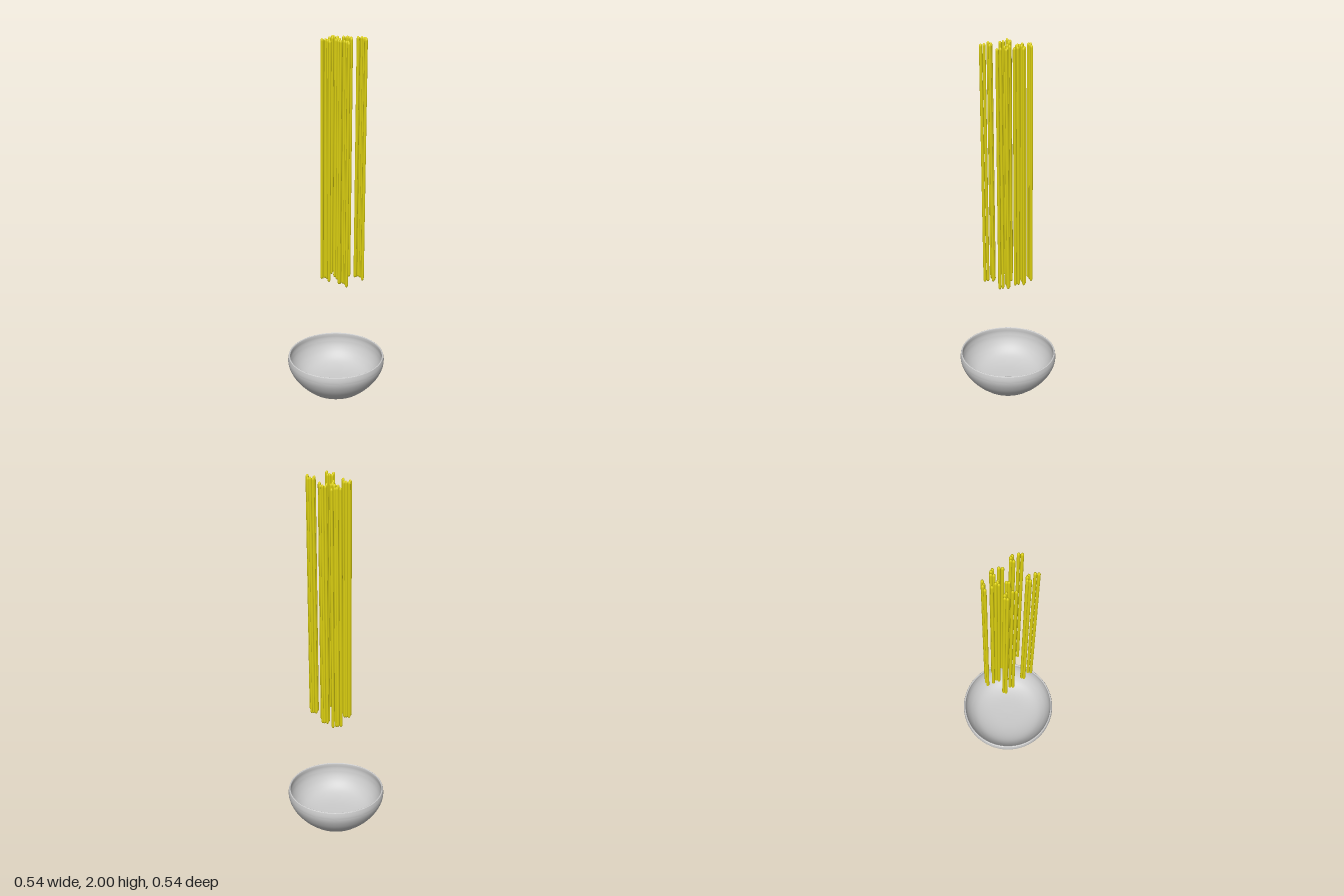
import * as THREE from 'three';
import { toCreasedNormals } from 'three/addons/utils/BufferGeometryUtils.js';

const V = (x, y) => new THREE.Vector2(x, y);
const LEAN = 0.012; // sideways drift of each strand from foot to tip
const R = 0.008;

// Bowl: outer wall, rounded rim and hollow inside in one turned profile
function makeBowl() {
  const outer = new THREE.SplineCurve([
    V(0.165, 0.005), V(0.2, 0.035), V(0.238, 0.08), V(0.262, 0.125), V(0.27, 0.16), V(0.268, 0.187),
  ]).getPoints(20);
  const inner = new THREE.SplineCurve([
    V(0.257, 0.187), V(0.258, 0.16), V(0.248, 0.12), V(0.222, 0.078), V(0.18, 0.045),
    V(0.11, 0.027), V(0, 0.022),
  ]).getPoints(28);
  const profile = [V(0, 0), V(0.16, 0), ...outer, V(0.266, 0.193), V(0.2625, 0.195), V(0.259, 0.193), ...inner];
  const geometry = toCreasedNormals(new THREE.LatheGeometry(profile, 64), 0.6);
  const bowl = new THREE.Mesh(geometry, new THREE.MeshStandardMaterial({ color: 0xcccccc }));
  bowl.name = 'bowl';
  return bowl;
}

// Strand: thin round rod with tapered tips, sheared slightly towards +x
function makeStrandGeometry(length) {
  const profile = [];
  const tip = 0.014, steps = 5;
  for (let i = 0; i <= steps; i++) {
    const a = (i / steps) * Math.PI / 2;
    profile.push(V(R * Math.sin(a), tip * (1 - Math.cos(a))));
  }
  for (let i = steps; i >= 0; i--) profile.push(V(profile[i].x, length - profile[i].y));
  const geometry = new THREE.LatheGeometry(profile, 12);
  const shear = new THREE.Matrix4().set(
    1, LEAN / length, 0, -LEAN / 2,
    0, 1, 0, 0,
    0, 0, 1, 0,
    0, 0, 0, 1);
  return geometry.applyMatrix4(shear);
}

export function createModel() {
  const model = new THREE.Group();
  model.name = 'noodleBowl';
  model.add(makeBowl());

  const yellow = new THREE.MeshStandardMaterial({ color: 0xdcd010 });
  const strand = makeStrandGeometry(1.325);

  // One bunch of six strands, as x/z offsets from its first strand
  const bunch = [[0, 0], [0.008, 0.012], [0.008, -0.012], [0.019, -0.017], [0.046, -0.006], [0.06, 0.003]];
  // The loose bunch is spread wider
  const looseBunch = [
    [-0.105, -0.037], [-0.104, -0.056], [-0.096, -0.062], [-0.092, -0.08], [-0.072, -0.03],
    [-0.048, -0.037], [-0.038, -0.026], [-0.037, -0.037], [-0.03, -0.043], [-0.003, -0.017], [0.005, -0.008],
  ];
  const bunches = [
    { name: 'backLeftStrands', x: 0.066, z: -0.09, y: 0.672, offsets: bunch },
    { name: 'frontLeftStrands', x: 0.077, z: 0.031, y: 0.67, offsets: bunch },
    { name: 'frontRightStrands', x: -0.053, z: 0.047, y: 0.66, offsets: bunch },
    { name: 'backRightStrands', x: -0.043, z: -0.085, y: 0.658, offsets: bunch },
    { name: 'looseStrands', x: 0, z: 0, y: 0.654, offsets: looseBunch },
  ];
  for (const { name, x, y, z, offsets } of bunches) {
    const group = new THREE.Group();
    group.name = name;
    group.position.set(x, y, z);
    offsets.forEach(([dx, dz], i) => {
      const mesh = new THREE.Mesh(strand, yellow);
      mesh.name = 'strand';
      mesh.position.set(dx, 0.003 * ((i * 2) % 3 - 1), dz); // uneven ends
      group.add(mesh);
    });
    model.add(group);
  }
  return model;
}
